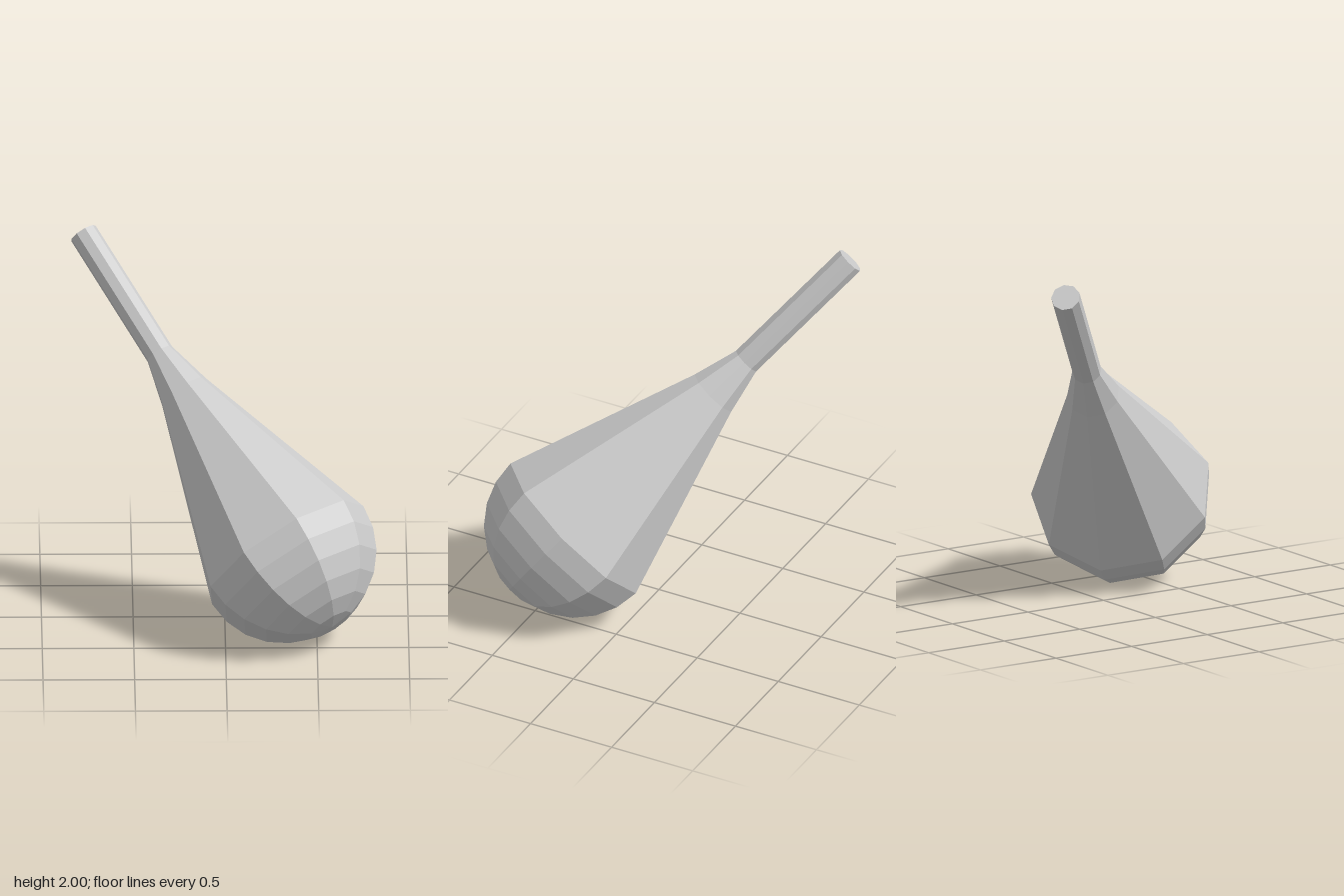
import * as THREE from 'three';

const SIDES = 9;
const RADIUS = 0.5;

// Faceted body of revolution; profile is [radius, height] from bottom to top
function turned(name, profile, material) {
  const points = profile.map(([r, y]) => new THREE.Vector2(r, y));
  const geometry = new THREE.LatheGeometry(points, SIDES, Math.PI / SIDES);
  const mesh = new THREE.Mesh(geometry, material);
  mesh.name = name;
  return mesh;
}

export function createModel() {
  const material = new THREE.MeshStandardMaterial({ color: 0xcccccc, flatShading: true });

  // Rounded end: half a sphere in 15 degree bands
  const dome = [];
  for (let i = 0; i <= 6; i++) {
    const a = (i / 6) * Math.PI / 2;
    dome.push([RADIUS * Math.sin(a), -RADIUS * Math.cos(a)]);
  }

  // Club along its own y axis, origin at the widest ring
  const club = new THREE.Group();
  club.name = 'club';
  club.add(
    turned('roundedHead', dome, material),
    turned('taperedBody', [[RADIUS, 0], [0.145, 1.07], [0.08, 1.325]], material),
    turned('handle', [[0.08, 1.325], [0.08, 2.13], [0, 2.13]], material),
  );

  // Lean the club diagonally, with a flat facing up and forward
  const up = new THREE.Vector3(-0.512, 0.679, -0.525).normalize();
  const facing = new THREE.Vector3(0.402, 0.729, 0.553);
  const side = new THREE.Vector3().crossVectors(up, facing).normalize();
  facing.crossVectors(side, up);
  club.quaternion.setFromRotationMatrix(new THREE.Matrix4().makeBasis(side, up, facing));
  club.position.set(0.326, 0.503, 0.343);

  const model = new THREE.Group();
  model.name = 'leaningClub';
  model.add(club);
  return model;
}
